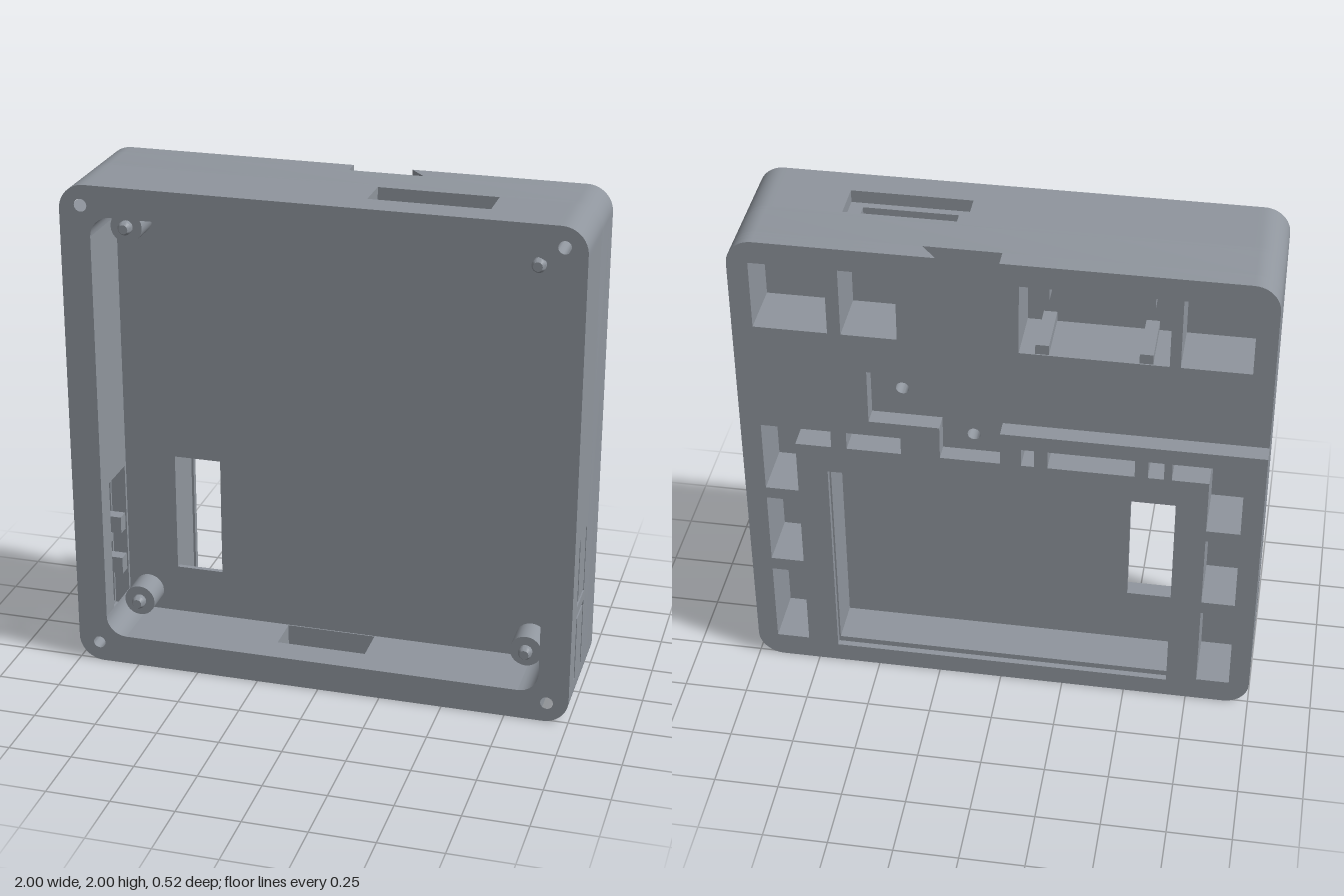
import * as THREE from 'three';
import { toCreasedNormals } from 'three/addons/utils/BufferGeometryUtils.js';

const FRONT = 0.26, BACK = -0.26, FLOOR = -0.015, PLATE = -0.035, CHANNEL = -0.19;
const R = 0.1;

// Closed path from [x, y, cornerRadius] points
function trace(path, pts) {
  const n = pts.length;
  pts.forEach(([x, y, r = 0], i) => {
    const toward = ([px, py], d) => {
      const l = Math.hypot(px - x, py - y);
      return [x + (px - x) / l * d, y + (py - y) / l * d];
    };
    const prev = pts[(i + n - 1) % n], next = pts[(i + 1) % n];
    const a = toward(prev, r), b = toward(next, r);
    if (i === 0) path.moveTo(...a); else path.lineTo(...a);
    if (r) path.bezierCurveTo(...toward(prev, r * 0.448), ...toward(next, r * 0.448), ...b);
  });
  path.closePath();
  return path;
}
const rect = (x0, y0, x1, y1) => [[x0, y0], [x1, y0], [x1, y1], [x0, y1]];
const hole = (pts) => trace(new THREE.Path(), pts);
const roundHole = (x, y, r) => new THREE.Path().absarc(x, y, r, 0, Math.PI * 2, true);

function slab(pts, holes, depth) {
  const shape = trace(new THREE.Shape(), pts);
  shape.holes = holes;
  const g = new THREE.ExtrudeGeometry(shape, { depth, bevelEnabled: false, curveSegments: 12 });
  return toCreasedNormals(g, 0.5);
}

export function createModel() {
  const group = new THREE.Group();
  const grey = new THREE.MeshStandardMaterial({ color: 0x8f959d });
  grey.name = 'grey plastic';
  const add = (name, geometry) => {
    const mesh = new THREE.Mesh(geometry, grey);
    mesh.name = name;
    group.add(mesh);
    return mesh;
  };
  // Slabs across z (drawn in x, y), across x (drawn in z, y) and across y (drawn in x, z)
  const layerZ = (name, z0, z1, pts, holes = []) =>
    add(name, slab(pts, holes, z1 - z0).translate(0, 0, z0));
  const layerX = (name, x0, x1, pts, holes = []) =>
    add(name, slab(pts, holes, x1 - x0).rotateY(-Math.PI / 2).translate(x1, 0, 0));
  const layerY = (name, y0, y1, pts, holes = []) =>
    add(name, slab(pts, holes, y1 - y0).rotateX(Math.PI / 2).translate(0, y1, 0));
  const box = (name, x0, x1, y0, y1, z0, z1) =>
    add(name, new THREE.BoxGeometry(x1 - x0, y1 - y0, z1 - z0)
      .translate((x0 + x1) / 2, (y0 + y1) / 2, (z0 + z1) / 2));

  // Side walls: outer skin with U-shaped slots, inner skin thinned behind the tongues
  const sideRect = rect(FLOOR, 0.12, FRONT, 1.88);
  const uSlot = (open, end, bar) => hole([
    [0.011, open], [0.027, open], [0.027, bar], [0.144, bar],
    [0.144, open], [0.161, open], [0.161, end], [0.011, end]]);
  for (const s of [1, -1]) {
    const span = (a, b) => (s > 0 ? [a, b] : [-b, -a]);
    layerX('sideWallOuter', ...span(0.94, 1), sideRect,
      [uSlot(0.73, 0.455, 0.472), uSlot(0.14, 0.415, 0.398)]);
    layerX('sideWallInner', ...span(0.88, 0.94), sideRect, [hole(rect(0, 0.13, 0.175, 0.75))]);
    for (const y of [0.36, 0.54]) box('buttonPin', ...span(0.86, 0.95), y - 0.035, y + 0.035, 0.065, 0.115);
  }

  // Top wall with a stepped port, bottom wall with a plain one
  const endRect = rect(-0.88, FLOOR, 0.88, FRONT);
  layerY('topWallOuter', 1.95, 2, endRect, [hole(rect(0.16, -0.01, 0.62, 0.14))]);
  layerY('topWallInner', 1.88, 1.95, endRect, [hole(rect(0.21, 0.02, 0.57, 0.11))]);
  layerY('bottomWall', 0, 0.12, endRect, [hole(rect(-0.2, -0.01, 0.16, 0.14))]);

  // Corners with screw holes, inner fillets and stand-off posts
  for (const sx of [1, -1]) for (const sy of [1, -1]) {
    const P = (x, y, r) => [sx * x, 1 + sy * y, r];
    layerZ('corner', FLOOR, FRONT, [P(0.88, 0.88), P(1, 0.88), P(1, 1, R), P(0.88, 1)],
      [roundHole(sx * 0.915, 1 + sy * 0.92, 0.025)]);
    const fillet = [P(0.88, 0.88), P(0.8, 0.88)];
    for (let i = 1; i <= 8; i++) {
      const a = Math.PI / 2 * (1 - i / 8);
      fillet.push(P(0.8 + 0.08 * Math.cos(a), 0.8 + 0.08 * Math.sin(a)));
    }
    layerZ('cornerFillet', FLOOR, FRONT, fillet);
    const post = [[0, FLOOR], [0.063, FLOOR], [0.063, 0.1], [0.027, 0.1], [0.027, 0.12], [0.018, 0.135], [0, 0.135]];
    const lathe = new THREE.LatheGeometry(post.map((p) => new THREE.Vector2(...p)), 24);
    add('post', toCreasedNormals(lathe.rotateX(Math.PI / 2), 0.5)).position.set(sx * 0.797, 1 + sy * 0.795, 0);
  }

  // Middle plate with the cable opening
  const outline = [[-1, 0, R], [1, 0, R], [1, 2, R], [-1, 2, R]];
  layerZ('middlePlate', PLATE, FLOOR, outline, [hole(rect(-0.67, 0.32, -0.48, 0.81))]);

  // Pockets in the back
  const pockets = () => {
    const list = [
      rect(0.64, 1.63, 0.92, 1.91), rect(0.38, 1.63, 0.59, 1.91),
      rect(0.38, 1.1, 0.59, 1.175),
      rect(-0.13, 1.1, -0.08, 1.175), rect(-0.51, 1.1, -0.18, 1.175), rect(-0.62, 1.1, -0.56, 1.175),
    ];
    for (const s of [1, -1]) {
      list.push([[0.92, 0.87], [0.92, 1.175], [0.65, 1.175], [0.65, 1.1], [0.79, 1.1], [0.79, 0.87]]
        .map(([x, y]) => [s * x, y]));
      list.push(rect(s * 0.79, 0.51, s * 0.92, 0.82), rect(s * 0.79, 0.1, s * 0.92, 0.455));
    }
    return list.map(hole);
  };
  const upperPockets = () => [rect(-0.62, 1.62, -0.07, 1.91), rect(-0.92, 1.62, -0.66, 1.91)].map(hole);
  const recess = () => hole(rect(-0.67, 0.08, 0.67, 0.98));

  layerZ('backCore', CHANNEL, PLATE, outline, [...pockets(), ...upperPockets(), recess(),
    roundHole(0.38, 1.36, 0.025), roundHole(0.11, 1.175, 0.025)]);

  // Back skin, split by the mounting channel, with a panel groove open to the bottom
  const groove = [[-0.73, 0], [-0.73, 1.03], [0.73, 1.03], [0.73, 0]];
  const skin = (bottom) => [[-1, 0, R], ...bottom, [1, 0, R], [1, 2, R], [0.29, 2], [0.29, 1.47],
    [0.5, 1.47], [0.5, 1.24], [0.23, 1.24], [0.23, 1.1], [0, 1.1], [0, 1.24], [-1, 1.24]];
  layerZ('backSkinInner', -0.21, CHANNEL, skin([]), [...pockets(), recess()]);
  layerZ('backSkinGroove', -0.235, -0.21, skin(groove), pockets());
  layerZ('backSkinOuter', BACK, -0.235, skin([]), [...pockets(), recess()]);
  layerZ('backSkinUpper', BACK, CHANNEL, [[-1, 1.53], [0, 1.53], [0, 2], [-1, 2, R]], upperPockets());

  // Undercut lips of the channel
  layerY('channelLipVertical', 1.47, 2, [[0.29, CHANNEL], [0.23, BACK], [0.29, BACK]]);
  layerX('channelLipHorizontal', -1, 0, [[CHANNEL, 1.53], [BACK, 1.53], [BACK, 1.47]]);

  // Short ribs in the wide upper pocket
  for (const x of [-0.18, -0.56]) {
    box('pocketRibTop', x, x + 0.05, 1.86, 1.915, -0.255, PLATE);
    box('pocketRibBottom', x, x + 0.05, 1.615, 1.66, -0.255, PLATE);
  }
  return group;
}
